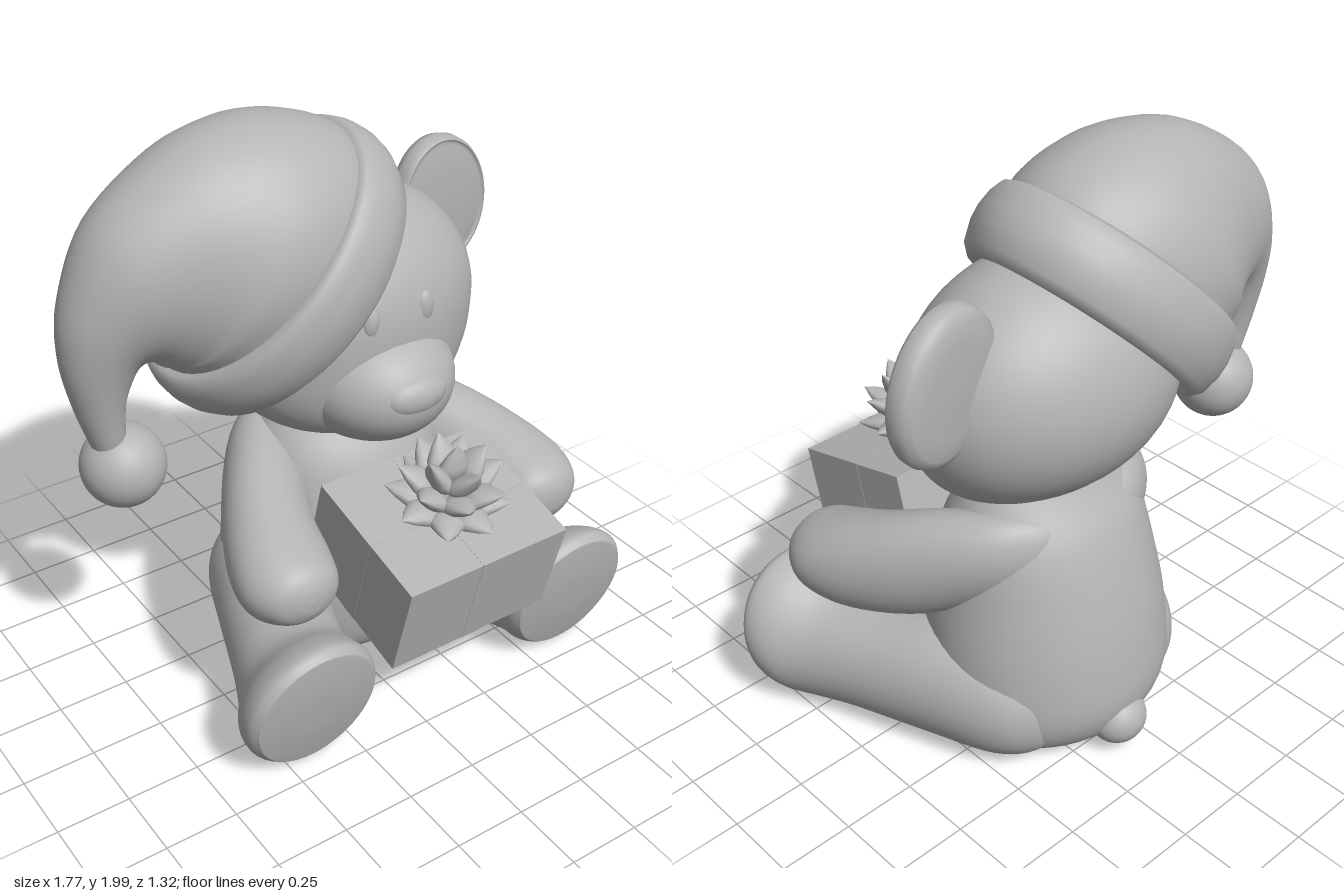
import * as THREE from 'three';

const MID = 0.11; // symmetry plane of the bear

// Smooth skin through sections; each row is turned into centre c and half axes u, v.
function loft(rows, toRing, steps = 6, sides = 48) {
  const size = rows[0].length, n = (rows.length - 1) * steps;
  const spline = new THREE.CubicInterpolant(rows.map((_, i) => i), rows.flat(), size, new Float32Array(size));
  const pos = [], index = [];
  for (let i = 0; i <= n; i++) {
    const { c, u, v } = toRing([...spline.evaluate(i / steps)]);
    for (let j = 0; j < sides; j++) {
      const t = (j / sides) * Math.PI * 2, cs = Math.cos(t), sn = Math.sin(t);
      for (let k = 0; k < 3; k++) pos.push(c[k] + cs * u[k] + sn * v[k]);
      if (i === n) continue;
      const a = i * sides + j, b = i * sides + (j + 1) % sides;
      index.push(a, b, a + sides, b, b + sides, a + sides);
    }
  }
  const g = new THREE.BufferGeometry();
  g.setAttribute('position', new THREE.Float32BufferAttribute(pos, 3));
  g.setIndex(index);
  g.computeVertexNormals();
  return g;
}

const lathe = (pts, seg = 64) => new THREE.LatheGeometry(pts.map(p => new THREE.Vector2(...p)), seg);

export function createModel() {
  const model = new THREE.Group();
  model.name = 'teddyBearWithGift';
  const grey = new THREE.MeshStandardMaterial({ color: 0xb4b4b4 });
  grey.name = 'plain grey';

  const add = (name, geo, parent = model) => {
    const m = new THREE.Mesh(geo, grey);
    m.name = name;
    parent.add(m);
    return m;
  };
  const ball = (name, p, r) => {
    const m = add(name, new THREE.SphereGeometry(1, 48, 32));
    m.position.set(...p);
    m.scale.set(...r);
    return m;
  };

  // Pear-shaped torso: y, centre z, half width, half depth
  add('body', loft([
    [0.01, -0.21, 0, 0], [0.015, -0.21, 0.26, 0.24], [0.07, -0.22, 0.37, 0.335], [0.2, -0.23, 0.42, 0.385],
    [0.4, -0.215, 0.42, 0.385], [0.6, -0.205, 0.39, 0.35], [0.8, -0.2, 0.35, 0.285],
    [0.93, -0.2, 0.28, 0.2], [1.02, -0.2, 0.2, 0.15],
  ], ([y, z, rx, rz]) => ({ c: [MID, y, z], u: [0, 0, rz], v: [rx, 0, 0] })));
  ball('tail', [MID, 0.125, -0.565], [0.1, 0.09, 0.093]);

  // Head, fuller round the cheeks and pushed forward at the chin
  const head = ball('head', [MID, 1.29, -0.2], [0.485, 0.41, 0.37]);
  const hp = head.geometry.attributes.position;
  for (let i = 0; i < hp.count; i++) {
    const y = hp.getY(i), low = Math.min(0, y) ** 2, f = 1 + 0.12 * low;
    hp.setXYZ(i, hp.getX(i) * f, y, hp.getZ(i) * f + 0.25 * low);
  }
  head.geometry.computeVertexNormals();
  ball('muzzle', [MID, 1.11, -0.01], [0.27, 0.215, 0.3]);
  ball('nose', [MID, 1.135, 0.235], [0.12, 0.07, 0.064]);
  for (const s of [-1, 1]) ball('eye', [MID + s * 0.104, 1.375, 0.138], [0.034, 0.056, 0.025]);

  // Ear with a thin rim; the other one is under the hat
  const ear = add('ear', lathe([
    [0, -0.055], [0.6, -0.052], [0.85, -0.044], [0.96, -0.028], [1, 0], [0.985, 0.03],
    [0.95, 0.043], [0.92, 0.042], [0.905, 0.034], [0.85, 0.04], [0.5, 0.05], [0, 0.053],
  ]).rotateX(Math.PI / 2));
  ear.scale.set(0.2, 0.248, 1);
  ear.position.set(0.592, 1.485, -0.3);
  ear.rotation.set(0, 0.15, 0.35);

  // Limbs run along z: z, offset from the middle, y, half width, half height
  const legRows = [
    [-0.52, 0.23, 0.21, 0, 0], [-0.48, 0.24, 0.21, 0.11, 0.12], [-0.37, 0.27, 0.215, 0.175, 0.19],
    [-0.15, 0.33, 0.225, 0.205, 0.218], [0.1, 0.42, 0.213, 0.208, 0.205], [0.25, 0.48, 0.213, 0.215, 0.206],
    [0.36, 0.522, 0.245, 0.237, 0.238], [0.43, 0.53, 0.257, 0.243, 0.249], [0.467, 0.53, 0.257, 0.225, 0.232],
    [0.476, 0.53, 0.257, 0.205, 0.212], [0.488, 0.53, 0.257, 0.1, 0.1], [0.49, 0.53, 0.257, 0, 0],
  ];
  const armRows = [
    [-0.43, 0.13, 0.79, 0, 0], [-0.4, 0.16, 0.79, 0.09, 0.09], [-0.3, 0.25, 0.768, 0.135, 0.15],
    [-0.1, 0.365, 0.697, 0.165, 0.192], [0.1, 0.46, 0.643, 0.172, 0.178], [0.25, 0.495, 0.622, 0.17, 0.145],
    [0.35, 0.495, 0.62, 0.128, 0.105], [0.39, 0.495, 0.62, 0.06, 0.055], [0.4, 0.495, 0.62, 0, 0],
  ];
  for (const s of [-1, 1]) {
    const side = s > 0 ? 'left' : 'right';
    const leg = loft(legRows, ([z, x, y, rx, ry]) => {
      const lean = 0.18 * THREE.MathUtils.smoothstep(z, 0.1, 0.42); // sole leans with the toes forward
      return { c: [MID + s * x, y, z], u: [rx, 0, 0], v: [0, ry, ry * lean] };
    });
    add(side + 'Leg', leg);
    add(side + 'Arm', loft(armRows, ([z, x, y, rx, ry]) =>
      ({ c: [MID + s * x, y, z], u: [rx, 0, 0], v: [0, ry, 0] })));
  }

  // Drooping cap, rooted inside the brim: outer x y, inner x y, half depth
  add('hatCrown', loft([
    [0.18, 1.82, -0.47, 1.18, 0.355], [0.085, 1.915, -0.545, 1.25, 0.362], [-0.08, 1.98, -0.56, 1.262, 0.35],
    [-0.256, 1.998, -0.565, 1.265, 0.315], [-0.48, 1.95, -0.58, 1.27, 0.265], [-0.735, 1.785, -0.6, 1.292, 0.205],
    [-0.86, 1.55, -0.63, 1.3, 0.15], [-0.885, 1.36, -0.655, 1.27, 0.115], [-0.855, 1.18, -0.69, 1.18, 0.085],
    [-0.81, 1.03, -0.7, 1.03, 0.06],
  ], ([ox, oy, ix, iy, rz]) => ({
    c: [(ox + ix) / 2, (oy + iy) / 2, -0.2],
    u: [(ox - ix) / 2, (oy - iy) / 2, 0], v: [0, 0, -rz],
  })));
  const brim = add('hatBrim', lathe([
    [0.4, -0.09], [0.43, -0.12], [0.465, -0.125], [0.498, -0.095], [0.518, -0.03], [0.521, 0.02],
    [0.512, 0.075], [0.494, 0.115], [0.465, 0.128], [0.43, 0.115], [0.4, 0.08], [0.39, 0], [0.4, -0.09],
  ]));
  brim.position.set(-0.136, 1.475, -0.2);
  brim.rotation.z = Math.PI / 4;
  brim.scale.z = 0.79;
  ball('pompom', [-0.71, 0.937, -0.2], [0.14, 0.14, 0.14]);

  // Gift, tipped forward
  const gift = new THREE.Group();
  gift.name = 'gift';
  gift.position.set(MID, 0.622, 0.365);
  gift.rotation.x = 0.255;
  model.add(gift);
  add('giftBox', new THREE.BoxGeometry(0.615, 0.36, 0.51), gift);
  add('ribbonLengthwise', new THREE.BoxGeometry(0.06, 0.362, 0.512), gift);
  add('ribbonCrosswise', new THREE.BoxGeometry(0.617, 0.362, 0.06), gift);

  // Rosette bow: tiers of broad pointed loops
  const bow = new THREE.Group();
  bow.name = 'bow';
  bow.position.set(0, 0.18, 0);
  gift.add(bow);
  const petal = lathe([[0, 0], [0.03, 0.04], [0.058, 0.09], [0.056, 0.12], [0.03, 0.165], [0, 0.2]], 12).scale(1, 1, 0.55);
  // count, elevation, length, lift
  for (const [count, tilt, len, lift] of [[8, 0.2, 1.05, 0.025], [7, 0.6, 1.08, 0.045], [4, 1.0, 1.02, 0.07], [1, 1.5, 0.95, 0.08]]) {
    for (let i = 0; i < count; i++) {
      const arm = new THREE.Group();
      arm.name = 'bowLoop';
      arm.position.y = lift;
      arm.rotation.y = ((i + tilt) / count) * Math.PI * 2;
      const loop = add('loop', petal, arm);
      loop.rotation.x = Math.PI / 2 - tilt;
      loop.scale.y = len;
      bow.add(arm);
    }
  }
  return model;
}
